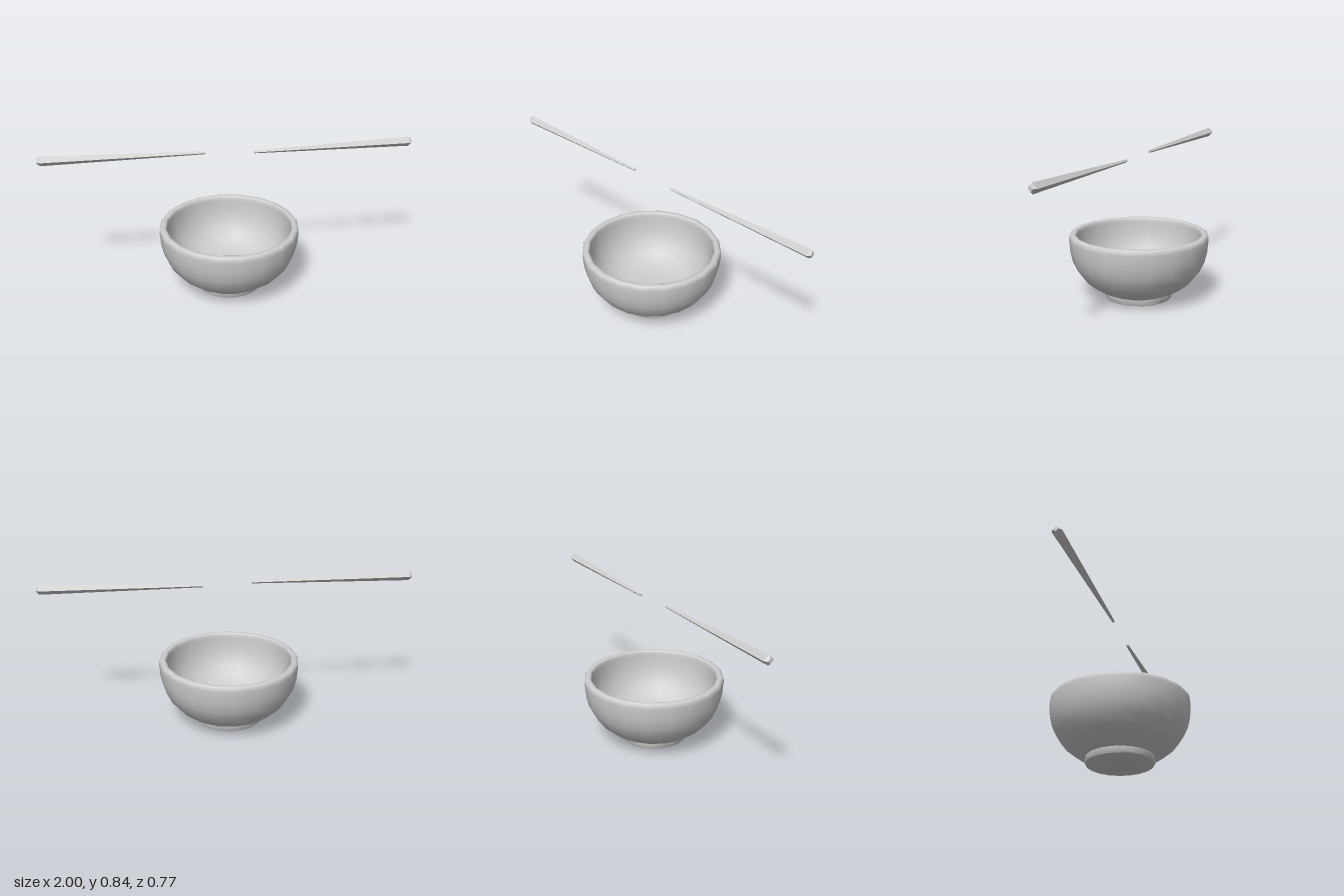
import * as THREE from 'three';
import { toCreasedNormals } from 'three/addons/utils/BufferGeometryUtils.js';

const material = new THREE.MeshStandardMaterial({ color: 0xcccccc });

function add(parent, name, geometry) {
  const mesh = new THREE.Mesh(geometry, material);
  mesh.name = name;
  parent.add(mesh);
  return mesh;
}

// Turned part: profile of [radius, height] pairs, smooth round, sharp at corners
function turned(profile) {
  const points = profile.map(([r, y]) => new THREE.Vector2(r, y));
  return toCreasedNormals(new THREE.LatheGeometry(points, 20), 0.7);
}

// Tapered square stick along +x, standing on edge; sections are [x, y, half diagonal]
function stickGeometry(sections) {
  const positions = [];
  const index = [];
  for (const [x, y, r] of sections) {
    positions.push(x, y + r, 0, x, y, r, x, y - r, 0, x, y, -r);
  }
  const last = (sections.length - 1) * 4;
  for (let s = 0; s < last; s += 4) {
    for (let i = 0; i < 4; i++) {
      const a = s + i, b = s + (i + 1) % 4;
      index.push(a, b, b + 4, a, b + 4, a + 4);
    }
  }
  index.push(0, 2, 1, 0, 3, 2, last, last + 1, last + 2, last, last + 2, last + 3);
  const geometry = new THREE.BufferGeometry();
  geometry.setAttribute('position', new THREE.Float32BufferAttribute(positions, 3));
  geometry.setIndex(index);
  return toCreasedNormals(geometry, 0.3);
}

export function createModel() {
  const model = new THREE.Group();
  model.name = 'bowlAndChopsticks';

  // Bowl with its foot
  const bowl = new THREE.Group();
  bowl.name = 'bowl';
  bowl.position.x = -0.007;
  model.add(bowl);
  add(bowl, 'bowlFoot', turned([
    [0, 0], [0.175, 0], [0.183, 0.002], [0.187, 0.008], [0.187, 0.045],
  ]));
  add(bowl, 'bowlShell', turned([
    // outer wall
    [0.15, 0.022], [0.188, 0.038], [0.25, 0.069], [0.302, 0.111], [0.34, 0.16],
    [0.366, 0.213], [0.38, 0.272], [0.386, 0.34],
    // rounded rim
    [0.385, 0.357], [0.379, 0.366], [0.37, 0.37], [0.358, 0.37], [0.35, 0.366], [0.346, 0.357],
    // inner wall and floor
    [0.345, 0.34], [0.339, 0.28], [0.325, 0.225], [0.3, 0.175], [0.265, 0.132],
    [0.22, 0.1], [0.165, 0.08], [0.09, 0.07], [0, 0.068],
  ]));

  // Chopsticks, tips facing each other above the bowl
  const sections = (tipY, tailY) => [
    [0.13, tipY, 0.008], [0.985, tailY, 0.027], [1, tailY, 0.014],
  ];
  add(model, 'leftChopstick', stickGeometry(sections(0.789, 0.795)));
  const right = add(model, 'rightChopstick', stickGeometry(sections(0.802, 0.812)));
  right.rotation.y = Math.PI;

  return model;
}
